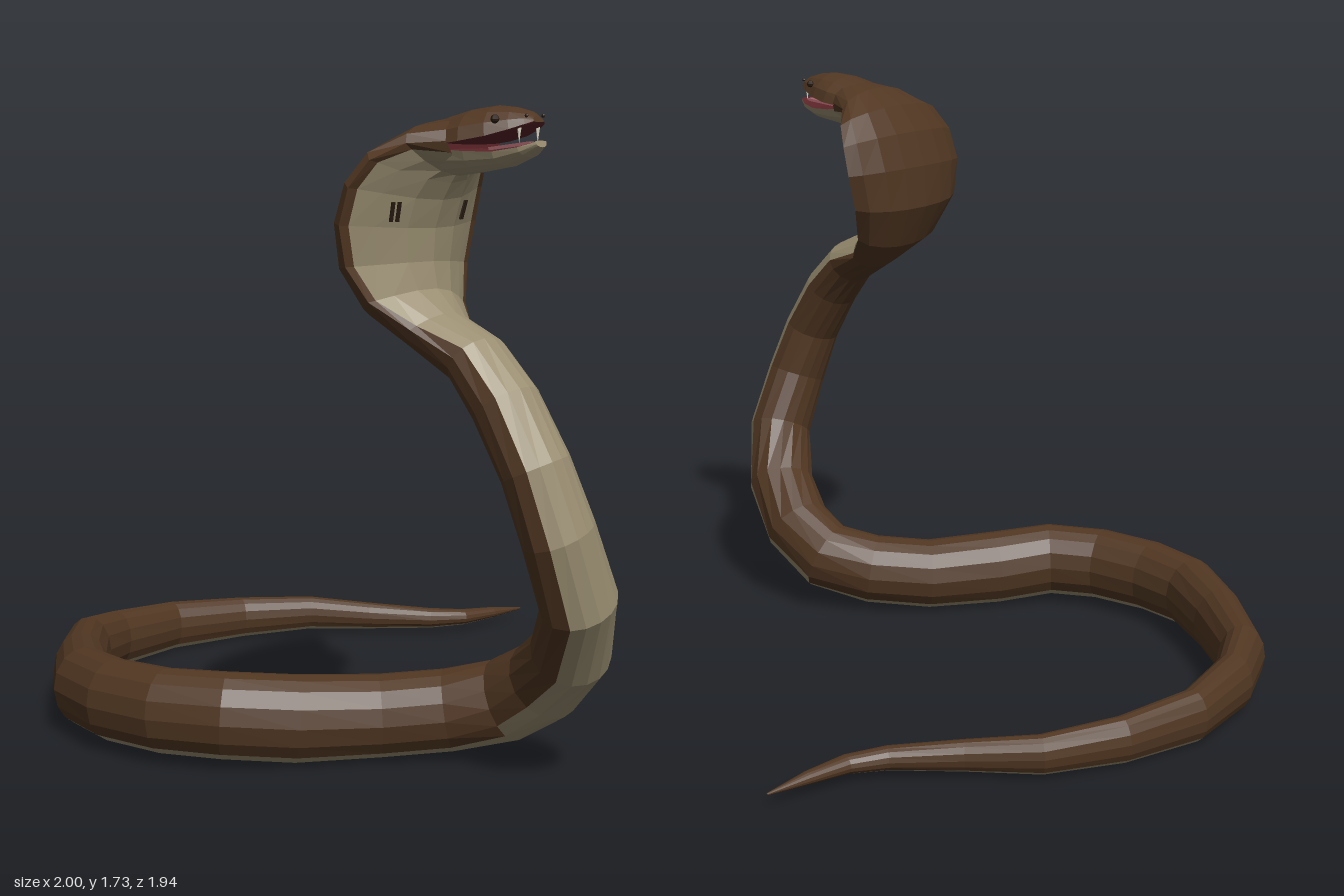
import * as THREE from 'three';

const mat = (name, color) => {
  const m = new THREE.MeshStandardMaterial({ color, flatShading: true });
  m.name = name;
  return m;
};
const ANGLES = [0, 20, 42, 64, 90, 115, 140, 160, 180, 200, 220, 245, 270, 296, 318, 340];
const N = ANGLES.length;
const V = (x, y, z) => new THREE.Vector3(x, y, z);

// Rows: x, y, z, half width, belly depth, back depth, belly turn (0 = down, 1 = forward +x), hood flatness
function makeRings(rows) {
  const c = rows.map((r) => V(r[0], r[1], r[2]));
  return rows.map(([, , , hw, hf, hb, w = 0, hood = 0], i) => {
    const t = c[Math.min(i + 1, c.length - 1)].clone().sub(c[Math.max(i - 1, 0)]).normalize();
    const belly = V(w, w - 1, 0);
    belly.addScaledVector(t, -belly.dot(t)).normalize();
    const side = t.clone().cross(belly);
    return ANGLES.map((deg) => {
      const a = (deg * Math.PI) / 180, k = Math.cos(a);
      const depth = k > 0 ? hf * Math.pow(k, 1 + 2 * hood) : hb * k;
      return c[i].clone().addScaledVector(belly, depth).addScaledVector(side, hw * Math.sin(a));
    });
  });
}

// Skins the rings, making one mesh per colour; pick(row, segment from the belly) gives the material
function skin(name, rings, pick, endMat) {
  const parts = new Map();
  const add = (m, ...pts) => {
    if (!parts.has(m)) parts.set(m, []);
    pts.forEach((p) => parts.get(m).push(p.x, p.y, p.z));
  };
  for (let i = 0; i < rings.length - 1; i++) {
    for (let j = 0; j < N; j++) {
      const k = (j + 1) % N, m = pick(i, Math.min(j, N - 1 - j));
      const [a, b, c, d] = [rings[i][j], rings[i][k], rings[i + 1][k], rings[i + 1][j]];
      add(m, a, b, c, a, c, d);
    }
  }
  const last = rings[rings.length - 1];
  const mid = last.reduce((s, p) => s.add(p), V(0, 0, 0)).divideScalar(N);
  last.forEach((p, j) => add(endMat, mid, p, last[(j + 1) % N]));
  const group = new THREE.Group();
  group.name = name;
  parts.forEach((pos, m) => {
    const g = new THREE.BufferGeometry();
    g.setAttribute('position', new THREE.Float32BufferAttribute(pos, 3));
    g.computeVertexNormals();
    const mesh = new THREE.Mesh(g, m);
    mesh.name = `${name} ${m.name}`;
    group.add(mesh);
  });
  return group;
}

const TAIL = [
  [-0.26, 0.048, -0.97, 0.003, 0.003, 0.003],
  [-0.29, 0.052, -0.84, 0.02, 0.015, 0.02],
  [-0.325, 0.056, -0.72, 0.03, 0.024, 0.027],
  [-0.395, 0.06, -0.63, 0.034, 0.032, 0.034],
  [-0.56, 0.066, -0.51, 0.036, 0.042, 0.046],
  [-0.73, 0.075, -0.4, 0.042, 0.055, 0.055],
  [-0.86, 0.08, -0.2, 0.047, 0.066, 0.066],
  [-0.946, 0.088, 0.04, 0.053, 0.077, 0.077],
  [-0.937, 0.098, 0.3, 0.06, 0.087, 0.09],
];
const COIL = [
  [-0.88, 0.11, 0.47, 0.069, 0.095, 0.1],
  [-0.705, 0.122, 0.665, 0.08, 0.104, 0.108],
  [-0.525, 0.135, 0.82, 0.09, 0.11, 0.112],
  [-0.35, 0.14, 0.875, 0.096, 0.113, 0.115],
  [-0.16, 0.145, 0.875, 0.098, 0.115, 0.116],
  [0, 0.147, 0.815, 0.102, 0.117, 0.117],
  [0.13, 0.128, 0.68, 0.104, 0.117, 0.12],
  [0.28, 0.122, 0.51, 0.106, 0.11, 0.114],
  [0.43, 0.137, 0.4, 0.106, 0.108, 0.115],
];
const RISE = [
  [0.57, 0.175, 0.335, 0.106, 0.11, 0.115, 0.15],
  [0.7, 0.255, 0.345, 0.108, 0.108, 0.11, 0.35],
  [0.82, 0.37, 0.41, 0.11, 0.105, 0.1, 0.6],
  [0.9, 0.53, 0.51, 0.112, 0.1, 0.085, 0.9],
  [0.89, 0.71, 0.585, 0.106, 0.09, 0.085, 1],
  [0.845, 0.87, 0.615, 0.1, 0.083, 0.085, 1],
  [0.755, 1.02, 0.612, 0.1, 0.08, 0.085, 1],
  [0.66, 1.12, 0.6, 0.105, 0.072, 0.075, 1],
];
const HOOD = [
  [0.545, 1.178, 0.59, 0.135, 0.065, 0.065, 1, 0.4],
  [0.465, 1.25, 0.582, 0.205, 0.07, 0.08, 1, 0.8],
  [0.432, 1.345, 0.578, 0.256, 0.078, 0.092, 1, 1],
  [0.435, 1.45, 0.577, 0.285, 0.08, 0.088, 0.9, 1],
  [0.458, 1.54, 0.576, 0.28, 0.085, 0.08, 0.8, 1],
  [0.495, 1.605, 0.575, 0.248, 0.085, 0.07, 0.6, 0.9],
  [0.545, 1.647, 0.573, 0.175, 0.08, 0.058, 0.3, 0.5],
  [0.625, 1.655, 0.57, 0.118, 0.075, 0.066, 0, 0.1],
];
const UPPER_HEAD = [
  [0.59, 1.645, 0.57, 0.122, 0.004, 0.072],
  [0.66, 1.655, 0.57, 0.121, 0.004, 0.08],
  [0.72, 1.667, 0.568, 0.1, 0.004, 0.076],
  [0.77, 1.683, 0.566, 0.07, 0.004, 0.056],
  [0.8, 1.695, 0.565, 0.045, 0.004, 0.035],
  [0.812, 1.702, 0.565, 0.022, 0.003, 0.014],
];
const LOWER_JAW = [
  [0.59, 1.637, 0.57, 0.112, 0.068, 0.003],
  [0.66, 1.631, 0.57, 0.1, 0.052, 0.003],
  [0.73, 1.63, 0.568, 0.082, 0.038, 0.003],
  [0.785, 1.64, 0.566, 0.056, 0.025, 0.003],
  [0.818, 1.653, 0.565, 0.026, 0.014, 0.003],
];

export function createModel() {
  const brown = mat('brown scales', 0x513722);
  const cream = mat('cream belly', 0x9b8f72);
  const dark = mat('dark markings', 0x2a1c12);
  const mouth = mat('mouth lining', 0x5c2428);
  const pink = mat('tongue pink', 0xa8626a);
  const ivory = mat('fang ivory', 0xe6dfcc);
  const model = new THREE.Group();
  model.name = 'hooded snake';

  // Tail, coil, raised neck and hood in one continuous skin
  const risingRow = TAIL.length + COIL.length;
  const rings = makeRings([...TAIL, ...COIL, ...RISE, ...HOOD]);
  model.add(skin('body', rings, (i, s) => (s < (i < risingRow ? 2 : 3) ? cream : brown), mouth));

  // Head and jaw, with the mouth lining between them
  model.add(skin('upper head', makeRings(UPPER_HEAD), (i, s) => (s < 4 ? mouth : brown), brown));
  model.add(skin('lower jaw', makeRings(LOWER_JAW), (i, s) => (s < 4 ? cream : mouth), cream));

  const place = (name, geometry, material, x, y, z) => {
    const mesh = new THREE.Mesh(geometry, material);
    mesh.name = name;
    mesh.position.set(x, y, z);
    model.add(mesh);
    return mesh;
  };
  place('tongue', new THREE.BoxGeometry(0.12, 0.008, 0.04), pink, 0.74, 1.643, 0.567).rotation.z = 0.12;

  // Eyes, nostrils and fangs
  for (const s of [-1, 1]) {
    place('eye', new THREE.SphereGeometry(0.011, 8, 6), dark, 0.74, 1.707, 0.567 + s * 0.079);
    place('nostril', new THREE.SphereGeometry(0.005, 6, 4), dark, 0.8, 1.715, 0.565 + s * 0.036);
    place('fang', new THREE.ConeGeometry(0.006, 0.042, 6), ivory, 0.783, 1.67, 0.566 + s * 0.04).rotation.x = Math.PI;
  }

  // Marks on the front of the hood, laid flat on its surface
  const row = risingRow + RISE.length + 3;
  for (const j of [1, N - 2]) {
    const [a, b, c, d] = [rings[row][j], rings[row][j + 1], rings[row + 1][j + 1], rings[row + 1][j]];
    const centre = V(0, 0, 0).add(a).add(b).add(c).add(d).multiplyScalar(0.25);
    const normal = b.clone().sub(d).cross(c.clone().sub(a)).normalize();
    for (const dz of [-0.009, 0.009]) {
      const mark = place('hood mark', new THREE.BoxGeometry(0.01, 0.05, 0.008), dark, 0, 0, 0);
      mark.position.copy(centre);
      mark.lookAt(centre.clone().add(normal));
      mark.translateX(dz);
    }
  }
  return model;
}
